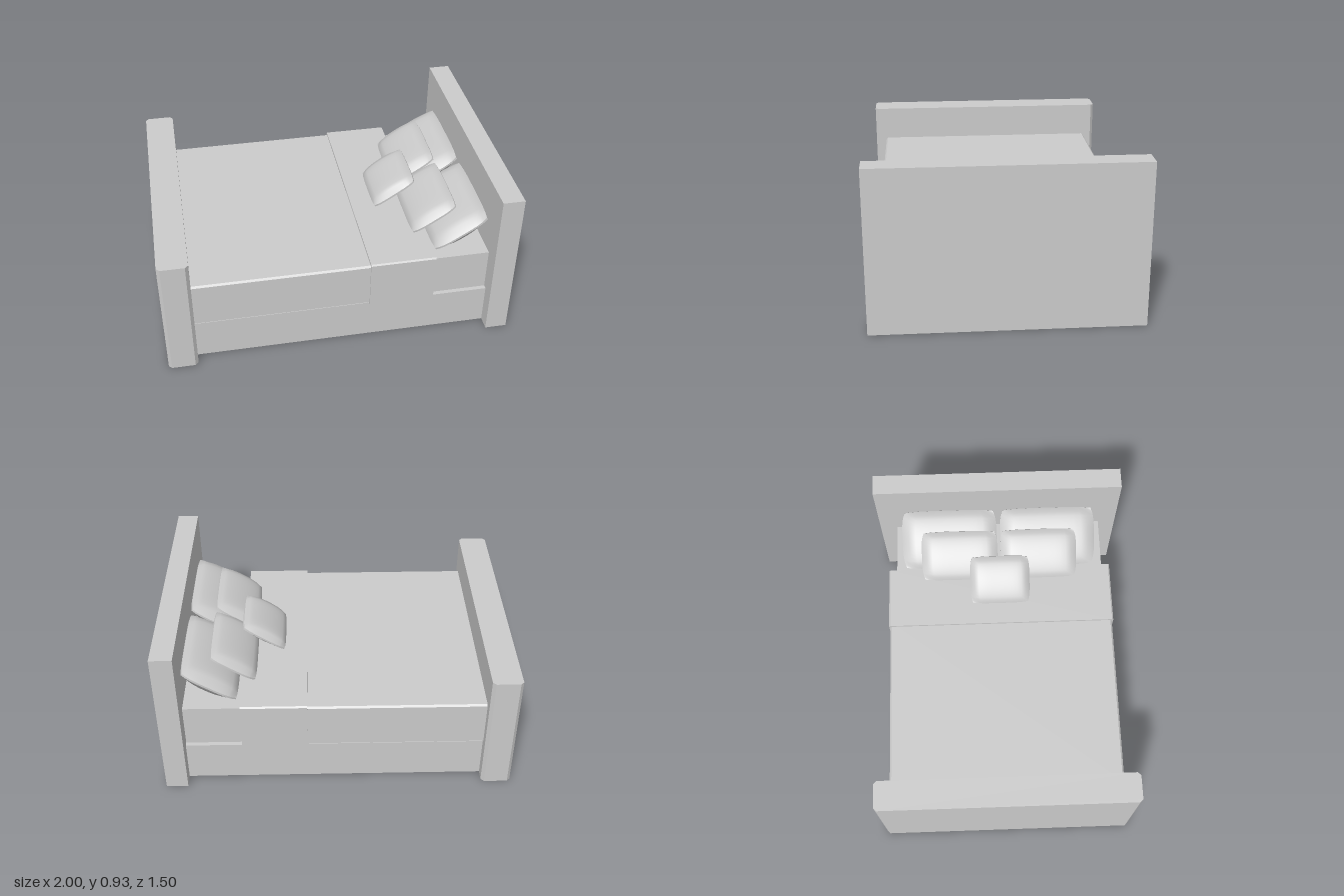
import * as THREE from 'three';

const material = new THREE.MeshStandardMaterial({ color: 0xcccccc });

function add(parent, name, geometry) {
  const mesh = new THREE.Mesh(geometry, material);
  mesh.name = name;
  parent.add(mesh);
  return mesh;
}

// Box given by its x and y ranges and its half depth
function block(parent, name, x0, x1, y0, y1, halfZ) {
  const mesh = add(parent, name, new THREE.BoxGeometry(x1 - x0, y1 - y0, halfZ * 2));
  mesh.position.set((x0 + x1) / 2, (y0 + y1) / 2, 0);
}

// Rectangle with cut corners, centred on the origin
function cutRect(w, h, c) {
  const x = w / 2, y = h / 2;
  return new THREE.Shape([
    [-x + c, -y], [x - c, -y], [x, -y + c], [x, y - c],
    [x - c, y], [-x + c, y], [-x, y - c], [-x, -y + c],
  ].map(([a, b]) => new THREE.Vector2(a, b)));
}

// Cloth draped over the mattress: section in z/y with cut top edges, run along x
function drape(parent, name, x0, x1, y0, y1, halfZ, c) {
  const shape = new THREE.Shape([
    [-halfZ, y0], [halfZ, y0], [halfZ, y1 - c], [halfZ - c, y1],
    [-halfZ + c, y1], [-halfZ, y1 - c],
  ].map(([a, b]) => new THREE.Vector2(a, b)));
  const geometry = new THREE.ExtrudeGeometry(shape, { depth: x1 - x0, bevelEnabled: false });
  geometry.rotateY(Math.PI / 2);
  add(parent, name, geometry).position.x = x0;
}

// Cushion: thin slab puffed up in the middle, with slightly drawn-in sides
function pillow(parent, name, { center, length, width, up, down, tilt }) {
  const geometry = new THREE.BoxGeometry(2, 2, 2, 14, 1, 14);
  const p = geometry.attributes.position;
  for (let i = 0; i < p.count; i++) {
    const u = p.getX(i), v = p.getZ(i), side = p.getY(i);
    const puff = Math.sqrt(Math.max(0, (1 - u * u) * (1 - v ** 6)));
    const y = side > 0 ? 0.006 + up * puff : -0.006 - down * puff;
    p.setXYZ(i,
      u * length / 2 * (1 - 0.05 * v ** 4),
      y,
      v * width / 2 * (1 - 0.07 * u ** 4));
  }
  geometry.computeVertexNormals();
  const mesh = add(parent, name, geometry);
  mesh.position.set(...center);
  mesh.rotation.z = tilt;
}

export function createModel() {
  const bed = new THREE.Group();
  bed.name = 'bed';

  // Frame
  block(bed, 'headboard', 0.875, 1, 0, 0.93, 0.75);
  block(bed, 'base', -0.84, 0.88, 0, 0.245, 0.67);
  const foot = new THREE.ExtrudeGeometry(cutRect(0.17, 1.5, 0.018), { depth: 0.735, bevelEnabled: false });
  foot.rotateX(-Math.PI / 2);
  add(bed, 'footboard', foot).position.x = -0.915;

  // Bedding
  block(bed, 'mattress', -0.83, 0.876, 0.24, 0.5, 0.645);
  drape(bed, 'duvet', -0.831, 0.2, 0.26, 0.53, 0.682, 0.01);
  drape(bed, 'foldedCover', 0.175, 0.55, 0.25, 0.543, 0.69, 0.008);

  // Pillows: two pairs and one small cushion in front
  for (const s of [-1, 1]) {
    const label = s > 0 ? 'front' : 'back';
    pillow(bed, label + 'LargePillow', {
      center: [0.722, 0.607, s * 0.305], length: 0.36, width: 0.59, up: 0.048, down: 0.062, tilt: 0.56,
    });
    pillow(bed, label + 'MediumPillow', {
      center: [0.593, 0.637, s * 0.243], length: 0.30, width: 0.47, up: 0.04, down: 0.026, tilt: 0.57,
    });
  }
  pillow(bed, 'smallCushion', {
    center: [0.427, 0.627, 0], length: 0.29, width: 0.365, up: 0.04, down: 0.026, tilt: 0.58,
  });

  return bed;
}
